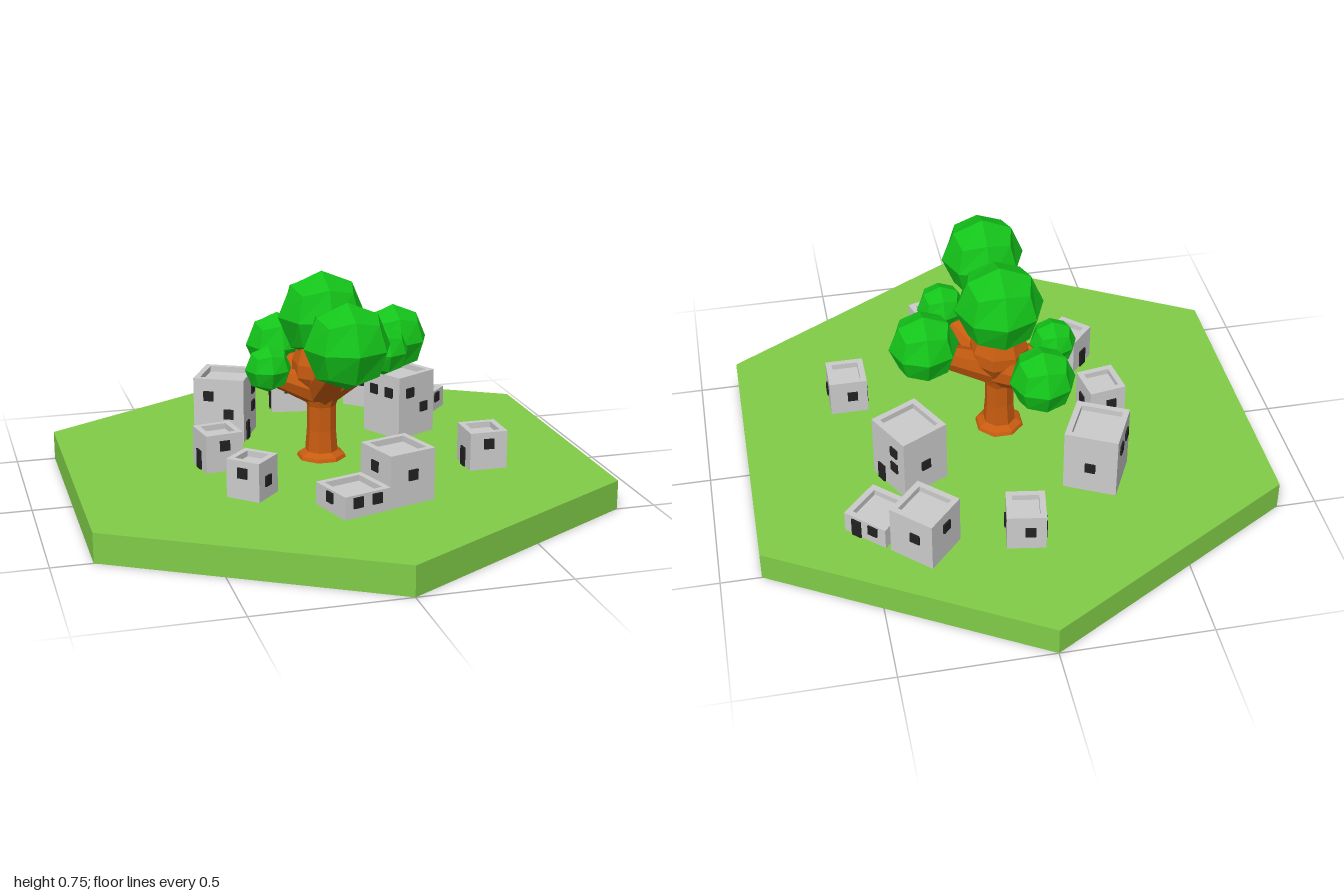
import * as THREE from 'three';

const GROUND = 0.1;
const mat = (color, extra = {}) => new THREE.MeshStandardMaterial({ color, flatShading: true, ...extra });
const grass = mat(0x80cc48);
const bark = mat(0xc85c10);
const leaves = mat(0x14c41a);
const stone = mat(0xcccccc);
const dark = mat(0x222222);

function add(parent, name, geometry, material, x = 0, y = 0, z = 0) {
  const mesh = new THREE.Mesh(geometry, material);
  mesh.name = name;
  mesh.position.set(x, y, z);
  parent.add(mesh);
  return mesh;
}

// Ball of leaves: a cube with 2 x 2 faces per side, pushed out to a sphere
function leafGeometry(radius) {
  const geo = new THREE.BoxGeometry(2, 2, 2, 2, 2, 2);
  const pos = geo.attributes.position;
  const v = new THREE.Vector3();
  for (let i = 0; i < pos.count; i++) {
    v.fromBufferAttribute(pos, i).setLength(radius);
    pos.setXYZ(i, v.x, v.y, v.z);
  }
  return geo;
}

// Tapered limb between two points
function addBranch(parent, from, to, r0, r1) {
  const dir = to.clone().sub(from);
  const mid = from.clone().addScaledVector(dir, 0.5);
  const limb = add(parent, 'branch', new THREE.CylinderGeometry(r1, r0, dir.length(), 8), bark, mid.x, mid.y, mid.z);
  limb.quaternion.setFromUnitVectors(new THREE.Vector3(0, 1, 0), dir.normalize());
}

function createTree() {
  const tree = new THREE.Group();
  tree.name = 'tree';

  // Trunk with flared root and spreading crown
  const profile = [[0, 0.1], [0.085, 0.1], [0.08, 0.112], [0.056, 0.125], [0.05, 0.2], [0.05, 0.285],
    [0.065, 0.335], [0.1, 0.395], [0.1, 0.44], [0.07, 0.52], [0, 0.53]];
  add(tree, 'trunk', new THREE.LatheGeometry(profile.map(p => new THREE.Vector2(...p)), 8, Math.PI / 8), bark, -0.01);

  // Leaf balls as x, y, z, radius, limb radius
  const balls = [
    [-0.01, 0.6, 0, 0.15, 0],
    [-0.016, 0.578, 0.333, 0.143, 0.04],
    [0.25, 0.493, -0.03, 0.118, 0.035],
    [-0.11, 0.45, -0.225, 0.11, 0.035],
    [-0.195, 0.425, 0, 0.08, 0.03],
    [0.16, 0.505, 0.16, 0.083, 0.03],
  ];
  for (const [x, y, z, r, limb] of balls) {
    add(tree, 'leafBall', leafGeometry(r), leaves, x, y, z);
    if (limb) addBranch(tree, new THREE.Vector3(-0.01, 0.335, 0), new THREE.Vector3(x, y - 0.02, z), 0.06, limb);
  }
  return tree;
}

// Flat-roofed house with a raised rim; openings are [side, offset, height, isDoor]
// Sides: 0 = +z, 1 = +x, 2 = -z, 3 = -x
function createHouse(size, height, openings) {
  const house = new THREE.Group();
  const rimHeight = 0.02, inner = size / 2 - 0.02, s = size / 2;
  add(house, 'walls', new THREE.BoxGeometry(size, height - rimHeight, size), stone, 0, (height - rimHeight) / 2, 0);

  const square = (Type, a) => new Type([[-a, -a], [a, -a], [a, a], [-a, a]].map(p => new THREE.Vector2(...p)));
  const outline = square(THREE.Shape, s);
  outline.holes.push(square(THREE.Path, inner));
  const rim = new THREE.ExtrudeGeometry(outline, { depth: rimHeight, bevelEnabled: false }).rotateX(-Math.PI / 2);
  add(house, 'roofRim', rim, stone, 0, height - rimHeight, 0);

  for (const [side, offset, y, isDoor] of openings) {
    const h = isDoor ? 0.065 : 0.035;
    const a = side * Math.PI / 2;
    const box = new THREE.BoxGeometry(0.035, h, 0.012)
      .translate(offset * size, isDoor ? h / 2 : y, s)
      .rotateY(a);
    add(house, isDoor ? 'door' : 'window', box, dark);
  }
  return house;
}

// Openings for each kind of house
const tower = [
  [0, -0.2, 0.163], [0, 0.2, 0.1], [1, -0.22, 0, true], [1, 0.2, 0.163], [1, 0.2, 0.1],
  [2, 0, 0.1], [3, -0.2, 0.163], [3, 0.22, 0.163],
];
const middle = [[0, 0, 0.1], [1, -0.2, 0.1], [1, 0.22, 0.1], [2, 0.1, 0.1], [3, 0, 0.12]];
const low = [[0, -0.22, 0.05], [0, 0.2, 0.05], [1, 0.1, 0.05], [2, -0.2, 0, true], [2, 0.2, 0.05], [3, 0, 0.05]];
const cottage = [[0, 0, 0.09], [1, -0.05, 0.06], [2, 0.1, 0.07], [3, 0, 0, true]];

export function createModel() {
  const model = new THREE.Group();
  model.name = 'villageTile';

  // Hexagonal ground
  add(model, 'ground', new THREE.CylinderGeometry(1, 1, GROUND, 6), grass, 0, GROUND / 2, 0);
  model.add(createTree());

  // Houses as name, x, z, turn in degrees, size, height, openings
  const houses = [
    ['leftBackTower', -0.275, -0.327, -26.6, 0.18, 0.225, tower],
    ['rightTower', 0.333, -0.207, 28, 0.175, 0.225, tower],
    ['backMiddleHouse', 0.338, -0.554, -43, 0.16, 0.175, middle],
    ['backLowHouse', 0.47, -0.433, -43, 0.16, 0.075, low],
    ['frontMiddleHouse', 0.12, 0.447, 17, 0.17, 0.175, middle],
    ['frontLowHouse', -0.043, 0.5, 17, 0.17, 0.075, low],
    ['rightCottage', 0.493, 0.217, 0, 0.13, 0.13, cottage],
    ['leftCottage', -0.372, 0.003, 9, 0.13, 0.13, cottage],
    ['frontCottage', -0.323, 0.304, -43, 0.12, 0.13, cottage],
    ['backCottage', 0.015, -0.57, -9, 0.127, 0.13, cottage],
  ];
  for (const [name, x, z, turn, size, height, openings] of houses) {
    const house = createHouse(size, height, openings);
    house.name = name;
    house.position.set(x, GROUND, z);
    house.rotation.y = THREE.MathUtils.degToRad(turn);
    model.add(house);
  }
  return model;
}
